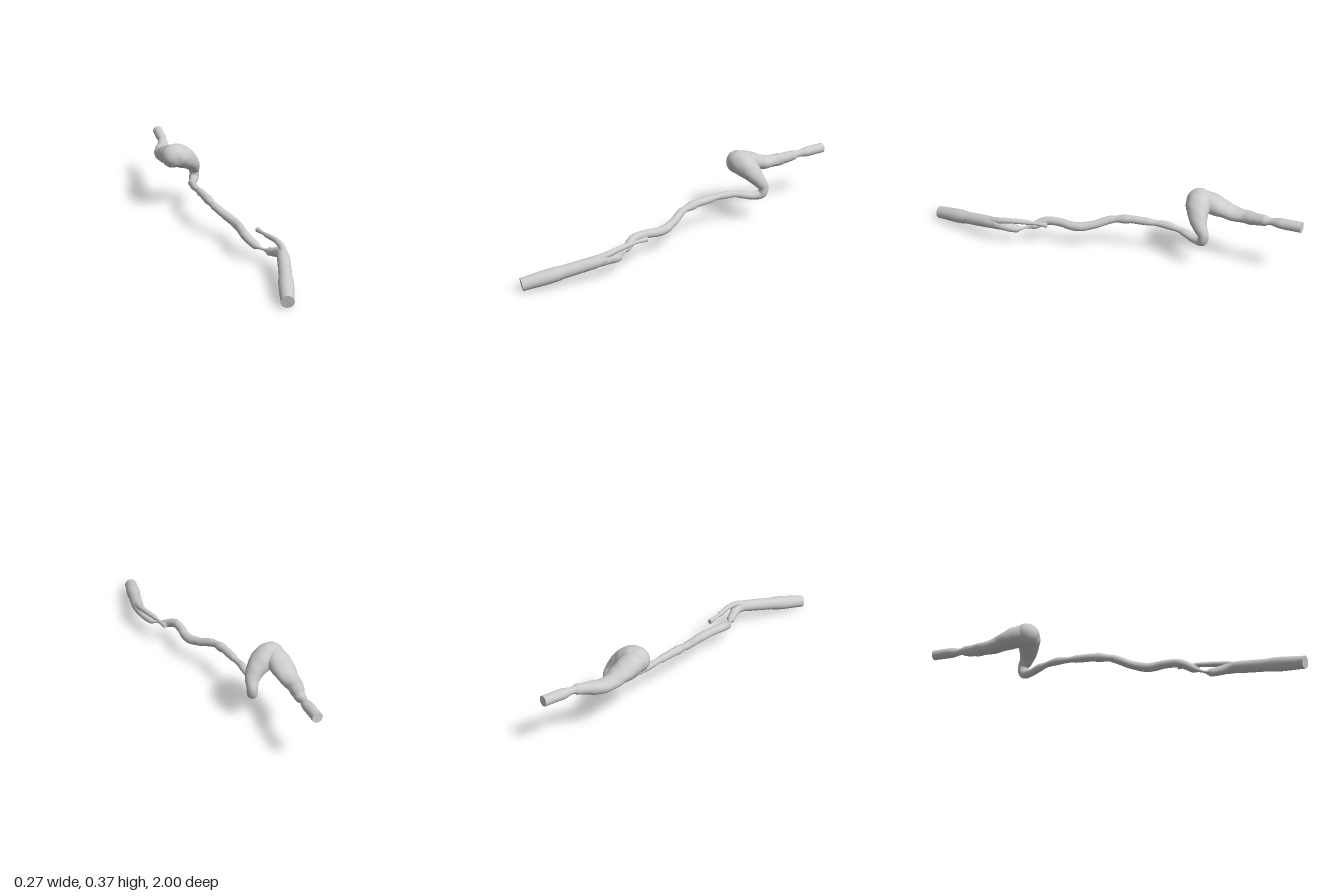
import * as THREE from 'three';

const material = new THREE.MeshStandardMaterial({ color: 0xcccccc });
const SIDES = 28;

// Sweeps a smooth tube through [x, y, z, radius, vertical squash = 1] stations.
// Each end is closed 'flat' or 'round'; lumps adds gentle surface waviness.
function vessel(name, stations, startCap, endCap, lumps = 0) {
  const path = new THREE.CatmullRomCurve3(stations.map(([x, y, z]) => new THREE.Vector3(x, y, z)));
  const size = new THREE.CatmullRomCurve3(
    stations.map(([, , , r, squash = 1]) => new THREE.Vector3(r, squash, 0)));
  const steps = (stations.length - 1) * 8;
  const rings = [];
  let normal = null;
  for (let i = 0; i <= steps; i++) {
    const t = i / steps;
    const tangent = path.getTangent(t);
    if (!normal) normal = new THREE.Vector3(0, 1, 0);
    normal = normal.clone().addScaledVector(tangent, -normal.dot(tangent)).normalize();
    const s = size.getPoint(t);
    rings.push({
      center: path.getPoint(t), tangent, normal,
      binormal: tangent.clone().cross(normal), r: s.x, squash: s.y,
    });
  }

  // Cap rings, listed outward from the tube end
  const capRings = (ring, kind, dir) => {
    if (kind === 'flat') return [{ ...ring }, { ...ring, r: 0 }];
    return Array.from({ length: 8 }, (_, k) => {
      const a = ((k + 1) / 8) * Math.PI / 2;
      const center = ring.center.clone().addScaledVector(ring.tangent, dir * ring.r * Math.sin(a));
      return { ...ring, center, r: k === 7 ? 0 : ring.r * Math.cos(a) };
    });
  };
  const all = [
    ...capRings(rings[0], startCap, -1).reverse(),
    ...rings,
    ...capRings(rings[steps], endCap, 1),
  ];

  const positions = [], index = [];
  all.forEach((ring, i) => {
    for (let j = 0; j < SIDES; j++) {
      const a = (j / SIDES) * Math.PI * 2;
      const offset = ring.normal.clone().multiplyScalar(Math.cos(a))
        .addScaledVector(ring.binormal, Math.sin(a)).multiplyScalar(ring.r);
      offset.y *= ring.squash;
      const p = ring.center.clone().add(offset);
      const wave = Math.sin(p.x * 75 + 1) * Math.sin(p.y * 70) * Math.sin(p.z * 65 + 2);
      p.addScaledVector(offset, lumps * wave);
      positions.push(p.x, p.y, p.z);
      if (i < all.length - 1) {
        const k = (j + 1) % SIDES, b = i * SIDES, c = b + SIDES;
        index.push(b + j, b + k, c + j, b + k, c + k, c + j);
      }
    }
  });
  const geometry = new THREE.BufferGeometry();
  geometry.setAttribute('position', new THREE.Float32BufferAttribute(positions, 3));
  geometry.setIndex(index);
  geometry.computeVertexNormals();
  const mesh = new THREE.Mesh(geometry, material);
  mesh.name = name;
  return mesh;
}

export function createModel() {
  const group = new THREE.Group();
  group.name = 'bloodVessel';

  // Straight thick trunk at the front
  group.add(vessel('frontTrunk', [
    [-0.104, 0.034, 0.986, 0.033],
    [-0.015, 0.07, 0.8, 0.033],
    [0.05, 0.097, 0.66, 0.032],
    [0.07, 0.106, 0.61, 0.027],
  ], 'flat', 'round'));

  // Winding vessel that curls up and swells into the bulb
  group.add(vessel('windingVessel', [
    [0.05, 0.097, 0.66, 0.029],
    [0.072, 0.1, 0.59, 0.027],
    [0.055, 0.078, 0.5, 0.021],
    [0.022, 0.088, 0.42, 0.021],
    [0.002, 0.114, 0.35, 0.023],
    [0.012, 0.12, 0.28, 0.022],
    [0.033, 0.116, 0.18, 0.024],
    [0.02, 0.132, 0.09, 0.022],
    [-0.005, 0.16, 0, 0.021],
    [-0.005, 0.173, -0.1, 0.021],
    [0.004, 0.174, -0.2, 0.02],
    [0.015, 0.172, -0.3, 0.02],
    [0.042, 0.158, -0.39, 0.02],
    [0.078, 0.143, -0.455, 0.021],
    [0.102, 0.152, -0.495, 0.026],
    [0.108, 0.19, -0.502, 0.028],
    [0.095, 0.224, -0.483, 0.036],
    [0.066, 0.26, -0.467, 0.048],
    [0.022, 0.292, -0.458, 0.061],
    [-0.015, 0.307, -0.456, 0.066],
    [-0.04, 0.308, -0.456, 0.065],
  ], 'round', 'round', 0.04));

  // Rear of the bulb narrowing into the straight back vessel
  group.add(vessel('bulbAndBackVessel', [
    [-0.038, 0.306, -0.465, 0.063],
    [-0.038, 0.298, -0.52, 0.061, 0.9],
    [-0.03, 0.28, -0.58, 0.058, 0.72],
    [-0.022, 0.265, -0.63, 0.049, 0.76],
    [-0.01, 0.26, -0.69, 0.041, 0.82],
    [0.022, 0.268, -0.75, 0.031],
    [0.05, 0.28, -0.81, 0.027],
    [0.072, 0.285, -0.89, 0.027],
    [0.098, 0.289, -0.994, 0.027],
  ], 'round', 'flat', 0.04));

  // Thin side branch leaving the front trunk
  group.add(vessel('sideBranch', [
    [0.058, 0.11, 0.65, 0.02],
    [0.078, 0.128, 0.59, 0.017],
    [0.084, 0.137, 0.52, 0.014],
    [0.078, 0.135, 0.43, 0.013],
    [0.078, 0.13, 0.33, 0.013],
  ], 'round', 'flat'));

  return group;
}
